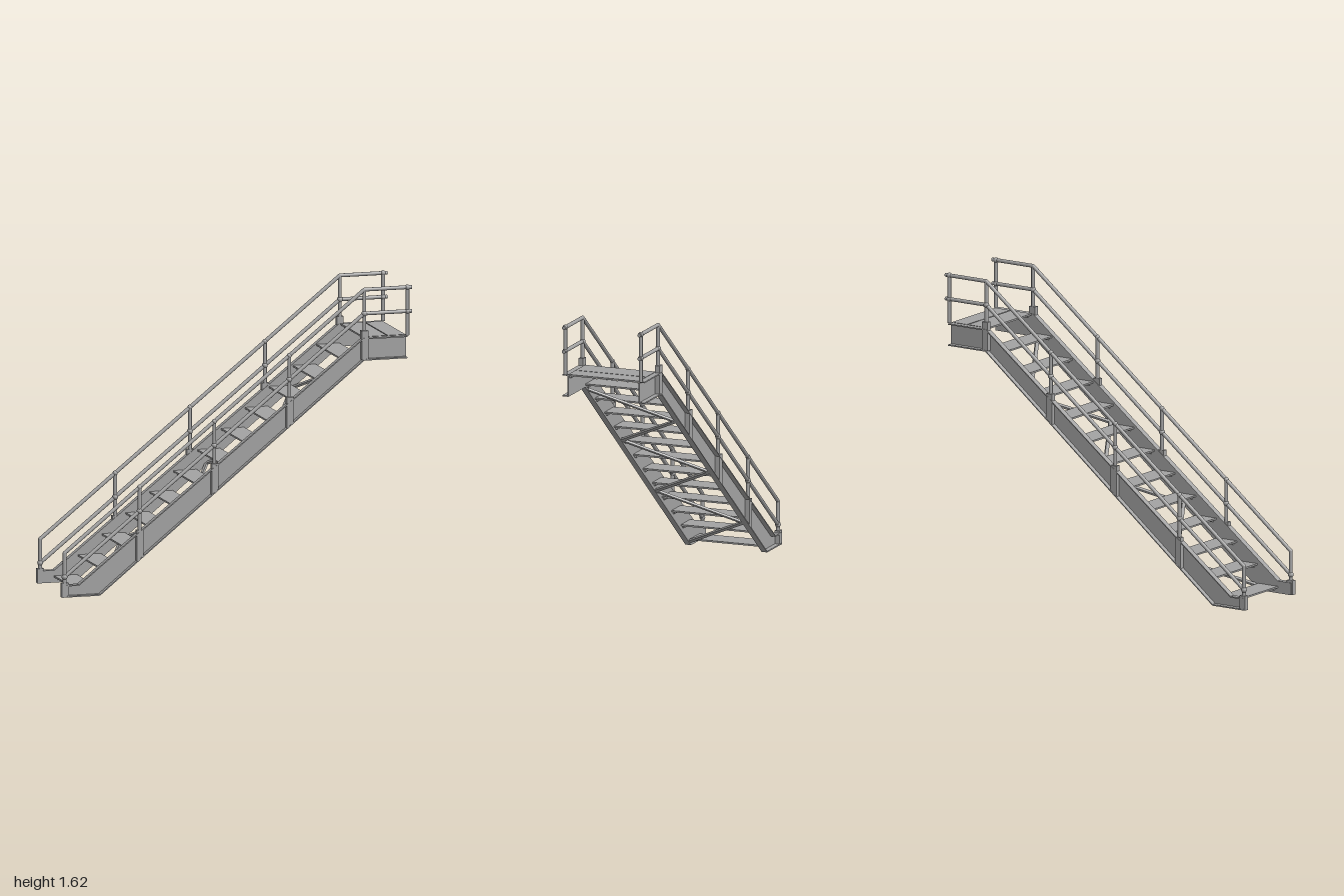
import * as THREE from 'three';

const steel = new THREE.MeshStandardMaterial({ color: 0xa3a3a3 });
steel.name = 'galvanised grey';

const SLOPE = 0.805;
const Z_IN = 0.207, Z_OUT = 0.241, Z_RAIL = 0.222;

function add(parent, geometry, name) {
  const mesh = new THREE.Mesh(geometry, steel);
  mesh.name = name;
  parent.add(mesh);
  return mesh;
}

// Outline in the xy plane, extruded between two z positions
function plate(parent, points, z0, z1, name) {
  const shape = new THREE.Shape(points.map(([x, y]) => new THREE.Vector2(x, y)));
  const geometry = new THREE.ExtrudeGeometry(shape, { depth: Math.abs(z1 - z0), bevelEnabled: false });
  geometry.translate(0, 0, Math.min(z0, z1));
  return add(parent, geometry, name);
}

function box(parent, x0, x1, y0, y1, z0, z1, name) {
  const geometry = new THREE.BoxGeometry(x1 - x0, y1 - y0, z1 - z0);
  geometry.translate((x0 + x1) / 2, (y0 + y1) / 2, (z0 + z1) / 2);
  return add(parent, geometry, name);
}

// Round bar between two points
function rod(parent, a, b, r, name) {
  const from = new THREE.Vector3(...a), to = new THREE.Vector3(...b);
  const dir = to.clone().sub(from);
  const mesh = add(parent, new THREE.CylinderGeometry(r, r, dir.length(), 14), name);
  mesh.position.copy(from).add(to).multiplyScalar(0.5);
  mesh.quaternion.setFromUnitVectors(new THREE.Vector3(0, 1, 0), dir.normalize());
}

function ball(parent, p, r, name) {
  add(parent, new THREE.SphereGeometry(r, 14, 10), name).position.set(...p);
}

const bottomPath = [[-0.99, 0], [-0.78, 0], [0.725, 1.216], [0.97, 1.216]];
const topPath = [[-0.99, 0.068], [-0.9, 0.068], [0.72, 1.34], [0.97, 1.34]];

// Channel stringer with its flanges turned outward
function stringer(side) {
  const group = new THREE.Group();
  group.name = side > 0 ? 'leftStringer' : 'rightStringer';
  plate(group, [...bottomPath, ...topPath.slice().reverse()], side * Z_IN, side * (Z_IN + 0.006), 'stringerWeb');
  const flange = (path, dy, name) => plate(group,
    [...path, ...path.map(([x, y]) => [x, y + dy]).reverse()], side * Z_IN, side * Z_OUT, name);
  flange(bottomPath, 0.007, 'bottomFlange');
  flange(topPath, -0.007, 'topFlange');
  return group;
}

// Handrail with posts, knee rail and post sockets
function railing(side) {
  const group = new THREE.Group();
  group.name = side > 0 ? 'leftRailing' : 'rightRailing';
  const z = side * Z_RAIL, r = 0.0105;
  const postX = [-0.977, -0.55, -0.124, 0.303, 0.73];
  const topY = x => 0.243 + (x + 0.977) * 0.798;
  const kneeY = x => topY(x) - 0.132;

  postX.forEach((x, i) => {
    // Socket rising from the lower flange to above the stringer
    const low = i === 0 ? 0 : 1.216 + (x - 0.725) * SLOPE;
    const high = i === 0 ? 0.08 : low + 0.16;
    const w = 0.019, tilt = i === 0 || i === 4 ? 0 : w * SLOPE;
    plate(group, [[x - w, low - tilt], [x + w, low + tilt], [x + w, high], [x - w, high]],
      side * (Z_IN + 0.004), side * (Z_OUT - 0.002), 'postSocket');
    rod(group, [x, high - 0.03, z], [x, topY(x), z], r, 'post');
    ball(group, [x, kneeY(x), z], 0.016, 'kneeRailJoint');
    ball(group, [x, topY(x), z], i === 0 || i === 4 ? r : 0.014, 'handrailJoint');
  });

  const first = postX[0], last = postX[4], endX = 0.976;
  for (const [height, name] of [[topY, 'handrail'], [kneeY, 'kneeRail']]) {
    const y = height(last);
    rod(group, [first, height(first), z], [last, y, z], r, name);
    rod(group, [last, y, z], [1, y, z], r, name + 'Landing');
    ball(group, [endX, y, z], 0.015, name + 'EndJoint');
  }
  rod(group, [endX, 1.34, z], [endX, topY(last), z], r, 'endPost');
  return group;
}

// Folded tread plate with a support cleat at each end
function tread(x0, x1, y, name) {
  const group = new THREE.Group();
  group.name = name;
  box(group, x0, x1, y - 0.009, y, -Z_IN, Z_IN, 'treadPlate');
  for (const side of [-1, 1]) {
    const a = side * Z_IN, b = side * (Z_IN - 0.01);
    box(group, x0 + 0.02, x1 - 0.02, y - 0.024, y - 0.009, Math.min(a, b), Math.max(a, b), 'treadCleat');
  }
  return group;
}

export function createModel() {
  const model = new THREE.Group();
  model.name = 'staircase';

  for (const side of [-1, 1]) model.add(stringer(side), railing(side));

  // Flight of steps
  for (let i = 0; i < 12; i++) {
    const x = -0.902 + i * 0.136;
    model.add(tread(x, x + 0.13, 0.038 + i * 0.1088, 'tread'));
  }
  // Landing made of two planks
  model.add(tread(0.73, 0.864, 1.342, 'landingPlank'));
  model.add(tread(0.87, 0.97, 1.342, 'landingPlank'));

  // Zigzag bracing beneath the flight
  const node = i => {
    const y = 0.027 + i * 0.195;
    return new THREE.Vector3(-0.78 + (y - 0.012) / SLOPE, y, (i % 2 ? -1 : 1) * Z_IN);
  };
  const normal = new THREE.Vector3(-SLOPE, 1, 0).normalize();
  for (let i = 0; i < 6; i++) {
    const a = node(i), b = node(i + 1);
    const along = b.clone().sub(a);
    const brace = add(model, new THREE.BoxGeometry(along.length(), 0.012, 0.02), 'brace');
    along.normalize();
    brace.position.copy(a).add(b).multiplyScalar(0.5);
    brace.quaternion.setFromRotationMatrix(
      new THREE.Matrix4().makeBasis(along, normal, along.clone().cross(normal)));
  }
  return model;
}
